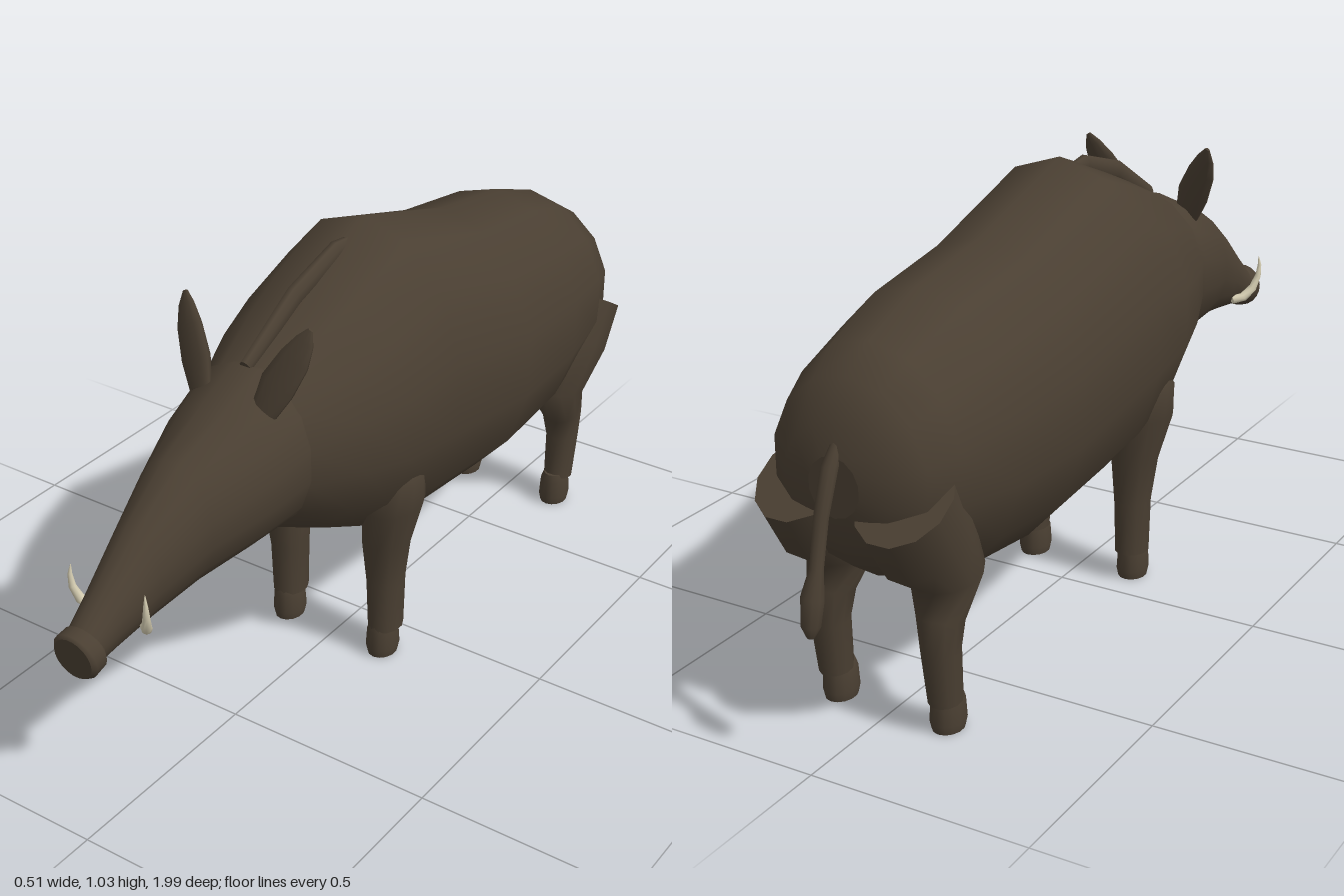
import * as THREE from 'three';

const hide = new THREE.MeshStandardMaterial({ color: 0x4a3f32 });
hide.name = 'brown hide';
const ivory = new THREE.MeshStandardMaterial({ color: 0xd8d0b4 });
ivory.name = 'ivory';

// Closed skin over elliptical rings [x, y, z, radiusAlongU, radiusAlongV].
// The second ring axis follows the path unless "v" fixes it.
function loft(rings, sides, u = new THREE.Vector3(1, 0, 0), v = null) {
  const pos = [], idx = [];
  const centres = rings.map(r => new THREE.Vector3(r[0], r[1], r[2]));
  const last = rings.length - 1;
  const loops = rings.map((r, i) => {
    const t = centres[Math.min(i + 1, last)].clone().sub(centres[Math.max(i - 1, 0)]);
    const w = v || t.cross(u).normalize();
    return Array.from({ length: sides }, (_, j) => {
      const a = (j + 0.5) / sides * Math.PI * 2;
      return centres[i].clone().addScaledVector(u, r[3] * Math.cos(a)).addScaledVector(w, r[4] * Math.sin(a));
    });
  });
  loops.flat().forEach(p => pos.push(p.x, p.y, p.z));
  for (let i = 0; i < last; i++) {
    for (let j = 0; j < sides; j++) {
      const k = (j + 1) % sides, a = i * sides, b = a + sides;
      idx.push(a + j, a + k, b + k, a + j, b + k, b + j);
    }
  }
  // Flat end caps with their own vertices
  for (const i of [0, last]) {
    const base = pos.length / 3;
    [centres[i], ...loops[i]].forEach(p => pos.push(p.x, p.y, p.z));
    for (let j = 0; j < sides; j++) {
      const p = base + 1 + j, q = base + 1 + (j + 1) % sides;
      if (i === 0) idx.push(base, q, p); else idx.push(base, p, q);
    }
  }
  const g = new THREE.BufferGeometry();
  g.setAttribute('position', new THREE.Float32BufferAttribute(pos, 3));
  g.setIndex(idx);
  g.computeVertexNormals();
  return g;
}

export function createModel() {
  const model = new THREE.Group();
  model.name = 'wildBoar';
  const add = (name, geometry, material = hide) => {
    const m = new THREE.Mesh(geometry, material);
    m.name = name;
    model.add(m);
  };
  const up = new THREE.Vector3(0, 1, 0);
  // Profile row: z, top, bottom, half width
  const section = ([z, top, bottom, w]) => [0, (top + bottom) / 2, z, w, (top - bottom) / 2];

  // Barrel body, rump to neck
  add('body', loft([
    [-0.885, 0.64, 0.51, 0.06], [-0.87, 0.70, 0.45, 0.13], [-0.83, 0.785, 0.385, 0.185],
    [-0.75, 0.835, 0.33, 0.212], [-0.58, 0.897, 0.27, 0.242], [-0.34, 0.935, 0.243, 0.252],
    [-0.01, 1.035, 0.275, 0.264], [0.16, 0.97, 0.33, 0.245], [0.28, 0.92, 0.39, 0.213],
    [0.42, 0.85, 0.465, 0.158],
  ].map(section), 14, undefined, up));

  // Long tapering head
  add('head', loft([
    [0.36, 0.84, 0.50, 0.13], [0.42, 0.858, 0.472, 0.165], [0.53, 0.81, 0.472, 0.148],
    [0.67, 0.75, 0.462, 0.102], [0.80, 0.66, 0.445, 0.07], [0.90, 0.575, 0.43, 0.052],
    [0.97, 0.515, 0.42, 0.043],
  ].map(section), 16, undefined, up));

  // Snout disc, tilted slightly
  add('snout', loft([
    [0, 0.468, 0.945, 0.042, 0.042], [0, 0.466, 0.957, 0.055, 0.053],
    [0, 0.46, 0.985, 0.056, 0.055], [0, 0.459, 0.994, 0.048, 0.047],
  ], 20));

  // Bristle crest along the shoulders
  add('crest', loft([
    [0, 0.985, 0.02, 0.008, 0.02], [0, 0.99, 0.10, 0.016, 0.026], [0, 0.945, 0.25, 0.018, 0.026],
    [0, 0.85, 0.42, 0.014, 0.02],
  ], 8));

  // Tail with a fuller tuft
  add('tail', loft([
    [0, 0.67, -0.86, 0.012, 0.012], [0, 0.62, -0.895, 0.018, 0.017], [0, 0.53, -0.928, 0.016, 0.015],
    [0, 0.43, -0.95, 0.015, 0.014], [0, 0.375, -0.967, 0.025, 0.024], [0, 0.32, -0.976, 0.021, 0.02],
    [0, 0.295, -0.978, 0.008, 0.008],
  ], 10));

  for (const [side, s] of [['left', 1], ['right', -1]]) {
    const mirror = rings => rings.map(([x, ...rest]) => [s * x, ...rest]);

    // Front leg
    add(side + 'FrontLeg', loft(mirror([
      [0.18, 0.52, 0.105, 0.03, 0.03], [0.172, 0.49, 0.105, 0.058, 0.068], [0.16, 0.42, 0.104, 0.066, 0.084],
      [0.14, 0.31, 0.10, 0.055, 0.062], [0.137, 0.20, 0.098, 0.042, 0.052], [0.137, 0.07, 0.098, 0.039, 0.047],
    ]), 12));

    // Hind leg with an open-angled haunch
    add(side + 'HindLeg', loft(mirror([
      [0.12, 0.55, -0.82, 0.10, 0.115], [0.122, 0.45, -0.76, 0.098, 0.115], [0.128, 0.345, -0.688, 0.074, 0.085],
      [0.135, 0.26, -0.728, 0.05, 0.055], [0.137, 0.19, -0.732, 0.041, 0.046], [0.137, 0.07, -0.72, 0.036, 0.04],
    ]), 12));

    // Hooves
    for (const [name, z] of [['FrontHoof', 0.107], ['HindHoof', -0.708]]) {
      add(side + name, loft(mirror([
        [0.136, 0.085, z, 0.027, 0.035], [0.135, 0.066, z, 0.034, 0.042],
        [0.135, 0.02, z, 0.037, 0.045], [0.135, 0, z, 0.033, 0.04],
      ]), 14));
    }

    // Flattened leaf-shaped ear
    add(side + 'Ear', loft(mirror([
      [0.083, 0.80, 0.468, 0.032, 0.012], [0.105, 0.855, 0.452, 0.042, 0.014], [0.135, 0.915, 0.432, 0.036, 0.012],
      [0.152, 0.955, 0.419, 0.022, 0.009], [0.16, 0.98, 0.411, 0.006, 0.004],
    ]), 10, new THREE.Vector3(s * 0.88, -0.47, 0).normalize()));

    // Upturned tusk
    add(side + 'Tusk', loft(mirror([
      [0.045, 0.468, 0.83, 0.012, 0.012], [0.068, 0.474, 0.85, 0.012, 0.012], [0.086, 0.497, 0.87, 0.011, 0.011],
      [0.096, 0.53, 0.88, 0.008, 0.008], [0.098, 0.56, 0.882, 0.005, 0.005], [0.096, 0.582, 0.88, 0.001, 0.001],
    ]), 8, new THREE.Vector3(s * 0.8, -0.4, -0.45).normalize()), ivory);
  }
  return model;
}
